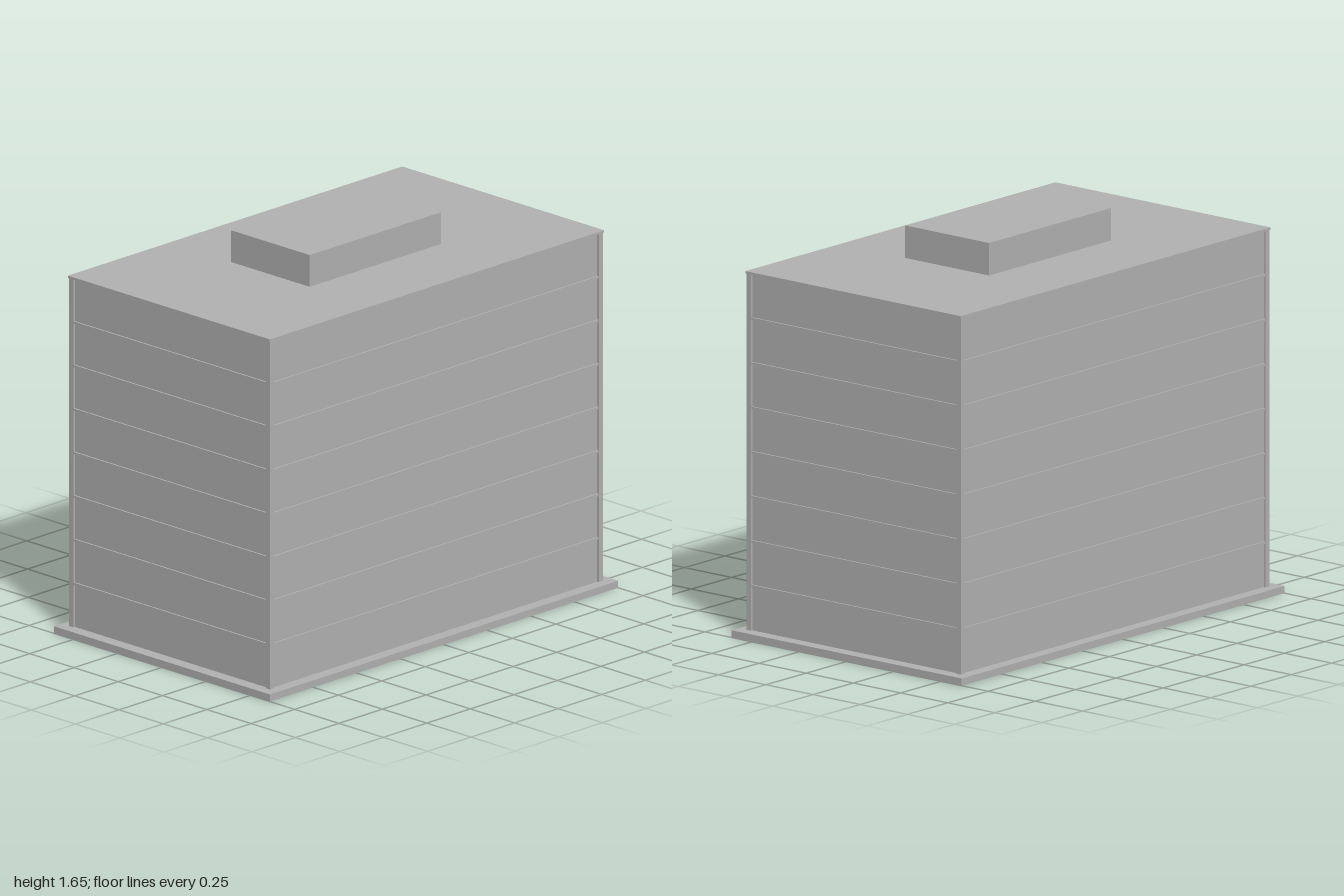
import * as THREE from 'three';

export function createModel() {
  const model = new THREE.Group();
  model.name = 'officeBlock';
  const concrete = new THREE.MeshStandardMaterial({ color: 0xb3b3b3 });
  concrete.name = 'concrete grey';

  // Box from its size, bottom height and centre
  const box = (name, w, h, d, y, x = 0, z = 0) => {
    const mesh = new THREE.Mesh(new THREE.BoxGeometry(w, h, d), concrete);
    mesh.name = name;
    mesh.position.set(x, y + h / 2, z);
    model.add(mesh);
    return mesh;
  };

  const base = 0.03, eaves = 1.51, top = 1.52, floors = 8;
  const halfX = 0.955, halfZ = 0.567, recess = 0.009, post = 0.023;

  // Ground slab, recessed walls, roof and rooftop plant room
  box('groundSlab', 2, base, 1.22, 0);
  box('walls', 2 * (halfX - recess), eaves - base, 2 * (halfZ - recess), base);
  box('roofSlab', 1.92, top - eaves, 1.14, eaves);
  box('rooftopRoom', 0.755, 0.135, 0.445, top);

  // Corner posts
  for (const sx of [-1, 1]) {
    for (const sz of [-1, 1]) {
      box('cornerPost', post, eaves - base, post, base,
        sx * (halfX - post / 2), sz * (halfZ - post / 2));
    }
  }

  // Floor ledges between the posts on all four sides
  const storey = (eaves - base) / floors, ledge = 0.01, depth = 0.012;
  for (let i = 1; i < floors; i++) {
    const y = base + i * storey - ledge / 2;
    for (const s of [-1, 1]) {
      box('floorLedge', 2 * (halfX - post), ledge, depth, y, 0, s * (halfZ - 0.002 - depth / 2));
      box('floorLedge', depth, ledge, 2 * (halfZ - post), y, s * (halfX - 0.002 - depth / 2), 0);
    }
  }
  return model;
}
